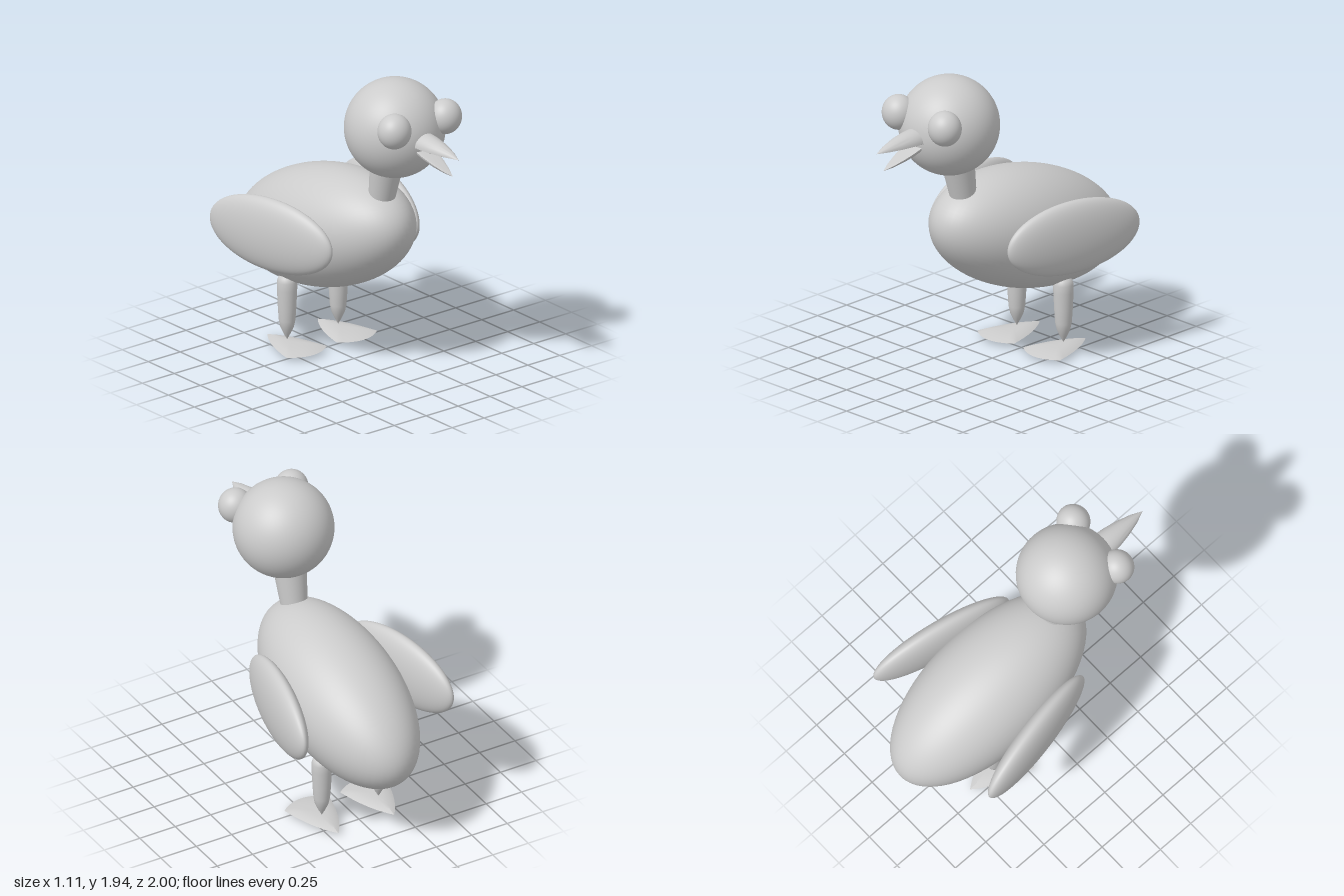
import * as THREE from 'three';
import { toCreasedNormals } from 'three/addons/utils/BufferGeometryUtils.js';

const material = new THREE.MeshStandardMaterial({ color: 0xcccccc });

const lathe = (points, segments = 32) =>
  new THREE.LatheGeometry(points.map(([r, y]) => new THREE.Vector2(r, y)), segments);

// Half cone along +z: arched on one side, almost flat on the other
function beakGeometry(length, width, up, down) {
  const g = lathe([[0, 0], [1, 0], [1, 0.15], [0.93, 0.32], [0.73, 0.55], [0.4, 0.8], [0, 1]]);
  g.rotateX(Math.PI / 2);
  const p = g.attributes.position;
  for (let i = 0; i < p.count; i++) {
    const y = p.getY(i);
    p.setXYZ(i, p.getX(i) * width, y * (y > 0 ? up : down), p.getZ(i) * length);
  }
  return toCreasedNormals(g, 0.7);
}

// Thin webbed foot: a lens profile swept round a three-cornered outline
function footGeometry() {
  const outline = new THREE.Shape();
  outline.moveTo(-0.157, 0.18);
  outline.quadraticCurveTo(0, 0.31, 0.157, 0.18);
  outline.quadraticCurveTo(0.11, -0.06, 0, -0.198);
  outline.quadraticCurveTo(-0.11, -0.06, -0.157, 0.18);
  const rim = outline.getPoints(12);
  const profile = [[0, 0], [0.4, 0.001], [0.75, 0.007], [1, 0.023], [0.75, 0.038], [0.4, 0.044], [0, 0.046]];
  const g = lathe(profile, rim.length - 1);
  const p = g.attributes.position;
  rim.forEach((corner, i) => profile.forEach(([r, y], j) => {
    p.setXYZ(i * profile.length + j, corner.x * r, y, corner.y * r + 0.03 * (1 - r));
  }));
  return toCreasedNormals(g, 0.6);
}

export function createModel() {
  const model = new THREE.Group();
  model.name = 'bird';

  const add = (name, geometry, position, rotation = [0, 0, 0], scale = [1, 1, 1]) => {
    const mesh = new THREE.Mesh(geometry, material);
    mesh.name = name;
    mesh.position.set(...position);
    mesh.rotation.set(...rotation);
    mesh.scale.set(...scale);
    model.add(mesh);
  };

  const ball = new THREE.SphereGeometry(1, 64, 40);

  // Egg-shaped body, chest raised
  add('body', ball, [0.005, 0.795, -0.27], [-0.279, 0, 0], [0.378, 0.384, 0.751]);

  // Neck leaning forward, and head
  add('neck', new THREE.CylinderGeometry(0.108, 0.08, 0.32, 32), [0.008, 1.27, 0.284], [0.2, 0, 0]);
  add('head', ball, [0.01, 1.63, 0.38], [0, 0, 0], [0.31, 0.31, 0.31]);

  // Open beak
  add('upperBeak', beakGeometry(0.38, 0.082, 0.076, 0.06 * 0.1), [0.006, 1.606, 0.62]);
  add('lowerBeak', beakGeometry(0.33, 0.066, 0.004, 0.045), [0.006, 1.59, 0.63], [0.34, 0, 0]);

  // Paired parts
  const leg = lathe([[0, 0.05], [0.022, 0.09], [0.042, 0.135], [0.051, 0.18], [0.057, 0.27],
    [0.062, 0.38], [0.062, 0.43], [0.053, 0.46], [0.03, 0.477], [0, 0.482]]);
  const foot = footGeometry();
  for (const [side, s] of [['left', 1], ['right', -1]]) {
    add(side + 'Eye', ball, [0.012 + s * 0.198, 1.724, 0.617], [0, 0, 0], [0.105, 0.11, 0.102]);
    add(side + 'Wing', ball, [s * 0.428, 0.835, -0.27], [0, -s * 0.195, 0], [0.088, 0.235, 0.479]);
    add(side + 'Leg', leg, [0.006 + s * 0.2, 0, -0.405]);
    add(side + 'Foot', foot, [0.006 + s * 0.197, 0, -0.4]);
  }
  return model;
}
